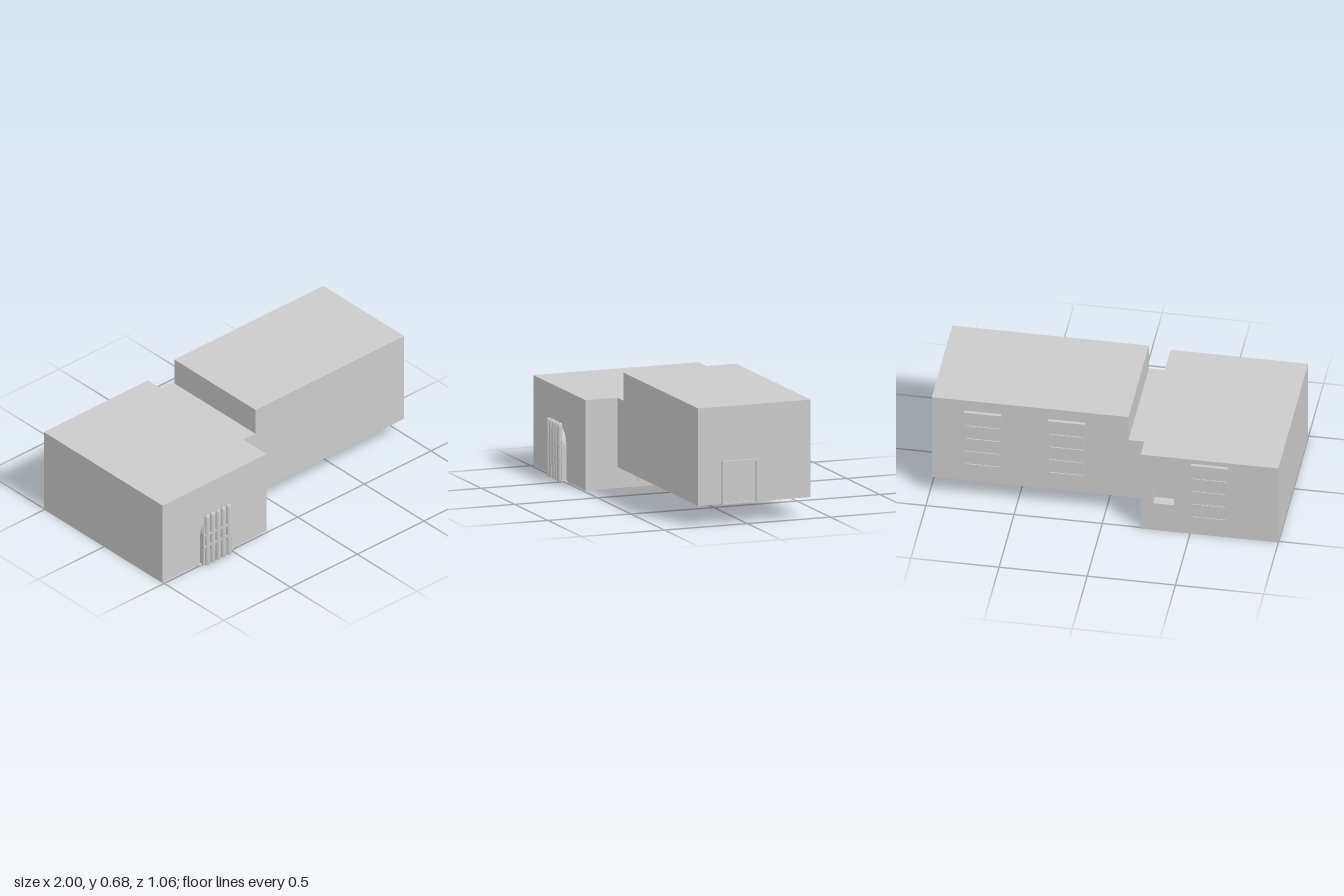
import * as THREE from 'three';

const mat = new THREE.MeshStandardMaterial({ color: 0xcccccc, flatShading: true, side: THREE.DoubleSide });
const smooth = new THREE.MeshStandardMaterial({ color: 0xcccccc });

// Box given by its two corners
function box(parent, name, x0, x1, y0, y1, z0, z1) {
  const m = new THREE.Mesh(new THREE.BoxGeometry(x1 - x0, y1 - y0, z1 - z0), mat);
  m.position.set((x0 + x1) / 2, (y0 + y1) / 2, (z0 + z1) / 2);
  m.name = name;
  parent.add(m);
  return m;
}

function rectPath(x0, x1, y0, y1, Type = THREE.Shape) {
  const s = new Type();
  s.moveTo(x0, y0);
  s.lineTo(x1, y0);
  s.lineTo(x1, y1);
  s.lineTo(x0, y1);
  s.closePath();
  return s;
}

function extrude(parent, name, shape, depth, z) {
  const m = new THREE.Mesh(new THREE.ExtrudeGeometry(shape, { depth, bevelEnabled: false, curveSegments: 20 }), mat);
  m.position.z = z;
  m.name = name;
  parent.add(m);
  return m;
}

// Shallow window box on a back wall, with panes set slightly into a lattice
function backWindow(parent, name, x0, x1, y0, y1, wallZ, cols, rows) {
  const g = new THREE.Group();
  g.name = name;
  parent.add(g);
  box(g, 'panes', x0, x1, y0, y1, wallZ - 0.014, wallZ);
  const lattice = rectPath(x0, x1, y0, y1);
  const border = 0.009, bar = 0.006;
  const w = (x1 - x0 - 2 * border - (cols - 1) * bar) / cols;
  const h = (y1 - y0 - 2 * border - (rows - 1) * bar) / rows;
  for (let i = 0; i < cols; i++) {
    for (let j = 0; j < rows; j++) {
      const x = x0 + border + i * (w + bar), y = y0 + border + j * (h + bar);
      lattice.holes.push(rectPath(x, x + w, y, y + h, THREE.Path));
    }
  }
  extrude(g, 'lattice', lattice, 0.006, wallZ - 0.02);
}

export function createModel() {
  const model = new THREE.Group();
  model.name = 'building';

  // Low wing; its back wall has a small vent recess
  const wing = new THREE.Group();
  wing.name = 'lowWing';
  model.add(wing);
  box(wing, 'wingBody', -1, -0.22, 0, 0.515, -0.45, 0.485);
  const backWall = rectPath(-1, -0.22, 0, 0.515);
  backWall.holes.push(rectPath(-0.41, -0.29, 0.185, 0.27, THREE.Path));
  extrude(wing, 'wingBackWall', backWall, 0.06, -0.51);

  // Raised hall and the lower link, as one stepped block
  const hall = new THREE.Shape();
  [[-0.22, 0.12], [0.985, 0.12], [0.985, 0.675], [-0.13, 0.675], [-0.13, 0.515], [-0.22, 0.515]]
    .forEach(([x, y], i) => (i ? hall.lineTo(x, y) : hall.moveTo(x, y)));
  hall.closePath();
  extrude(model, 'hall', hall, 0.68, -0.388);

  // Windows on the back walls
  backWindow(model, 'wingWindow', -0.717, -0.508, 0.123, 0.487, -0.51, 4, 4);
  for (const x of [0.115, 0.59]) backWindow(model, 'hallWindow', x, x + 0.21, 0.24, 0.605, -0.388, 2, 4);

  // Door surround on the end wall
  const door = new THREE.Group();
  door.name = 'doorFrame';
  model.add(door);
  box(door, 'jamb', 0.98, 1, 0.118, 0.364, 0.137, 0.15);
  box(door, 'jamb', 0.98, 1, 0.118, 0.364, -0.067, -0.054);
  box(door, 'lintel', 0.98, 1, 0.351, 0.364, -0.054, 0.137);
  box(door, 'sill', 0.98, 0.997, 0.118, 0.123, -0.054, 0.137);

  // Stepped stair ends beneath the hall
  [[-0.228, 0.205, 0, 0.028], [-0.194, 0.17, 0.028, 0.06], [-0.16, 0.135, 0.06, 0.092]]
    .forEach(([z0, z1, y0, y1]) => box(model, 'stairStep', -0.225, -0.2165, y0, y1, z0, z1));

  // Arched bay on the front with a row of upright rounded bars
  const bay = new THREE.Group();
  bay.name = 'barredBay';
  model.add(bay);
  const cx = -0.61;
  const arch = new THREE.Shape();
  arch.moveTo(cx - 0.107, 0);
  arch.lineTo(cx + 0.107, 0);
  arch.lineTo(cx + 0.107, 0.2);
  arch.absellipse(cx, 0.2, 0.107, 0.105, 0, Math.PI, false);
  arch.closePath();
  extrude(bay, 'archedBack', arch, 0.027, 0.484);
  const barProfile = [[0, 0], [0.015, 0], [0.016, 0.2], [0.0155, 0.29], [0.014, 0.318], [0.011, 0.33], [0, 0.33]]
    .map(([r, y]) => new THREE.Vector2(r, y));
  for (let i = -2; i <= 2; i++) {
    const bar = new THREE.Mesh(new THREE.LatheGeometry(barProfile, 14), smooth);
    bar.position.set(cx + i * 0.04, 0, 0.514);
    bar.name = 'uprightBar';
    bay.add(bar);
  }
  for (const y of [0.12, 0.195]) box(bay, 'crossBar', cx - 0.107, cx + 0.107, y, y + 0.01, 0.5, 0.522);
  box(bay, 'baseStrip', cx - 0.13, cx + 0.13, 0, 0.005, 0.48, 0.5);

  return model;
}
